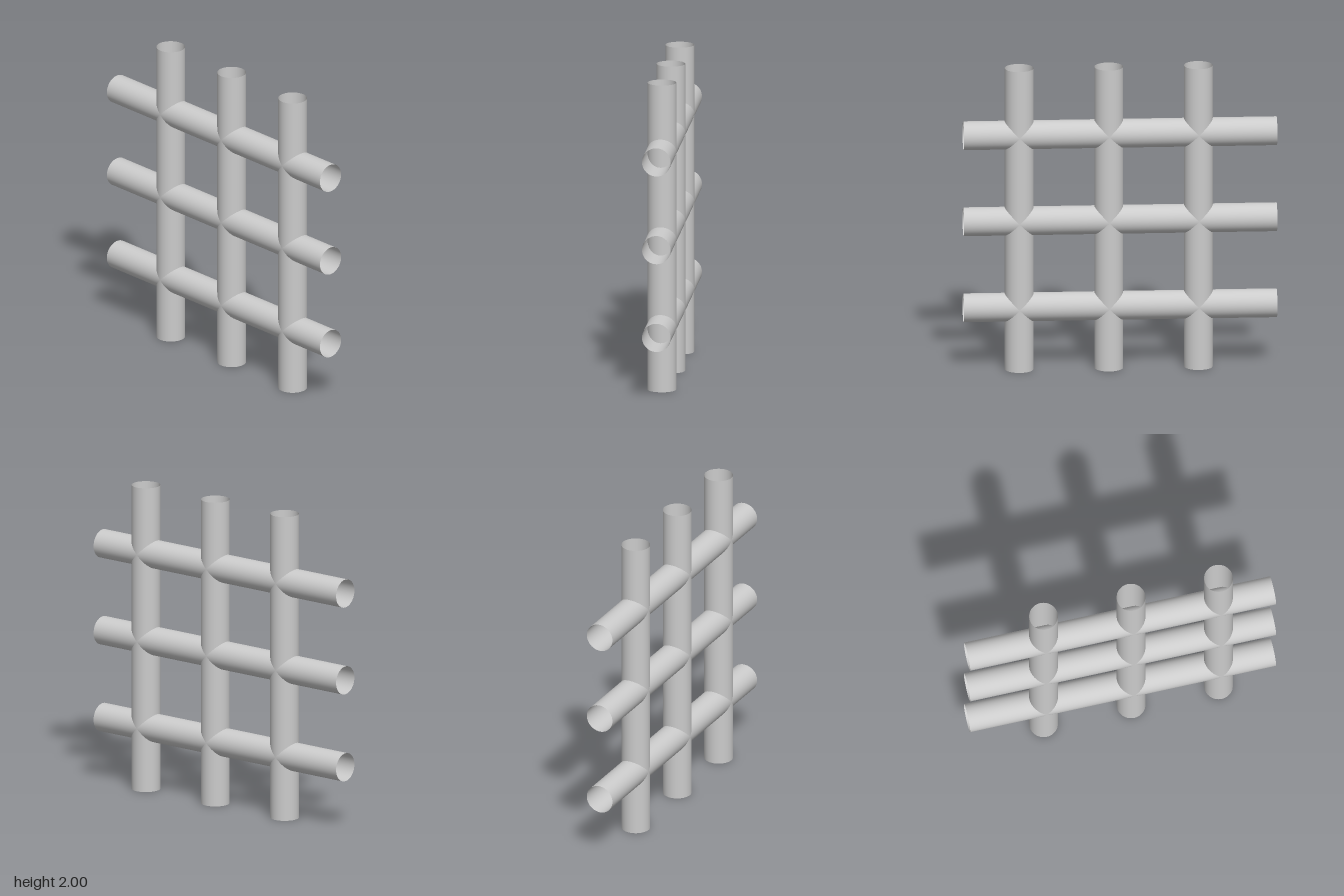
import * as THREE from 'three';

// Lattice of open round pipes crossing in one plane
export function createModel() {
  const group = new THREE.Group();
  group.name = 'pipeLattice';
  const radius = 0.092, length = 2, spacing = 0.572;
  const firstColumn = -0.5, firstRow = 0.412;

  const material = new THREE.MeshStandardMaterial({ color: 0xcccccc, side: THREE.DoubleSide });
  const pipe = new THREE.CylinderGeometry(radius, radius, length, 48, 1, true);

  for (let i = 0; i < 3; i++) {
    // Upright pipe
    const upright = new THREE.Mesh(pipe, material);
    upright.name = `verticalPipe${i + 1}`;
    upright.position.set(firstColumn + i * spacing, 1, 0);
    group.add(upright);

    // Cross pipe
    const cross = new THREE.Mesh(pipe, material);
    cross.name = `horizontalPipe${i + 1}`;
    cross.rotation.z = Math.PI / 2;
    cross.position.set(0, firstRow + i * spacing, 0);
    group.add(cross);
  }
  return group;
}
